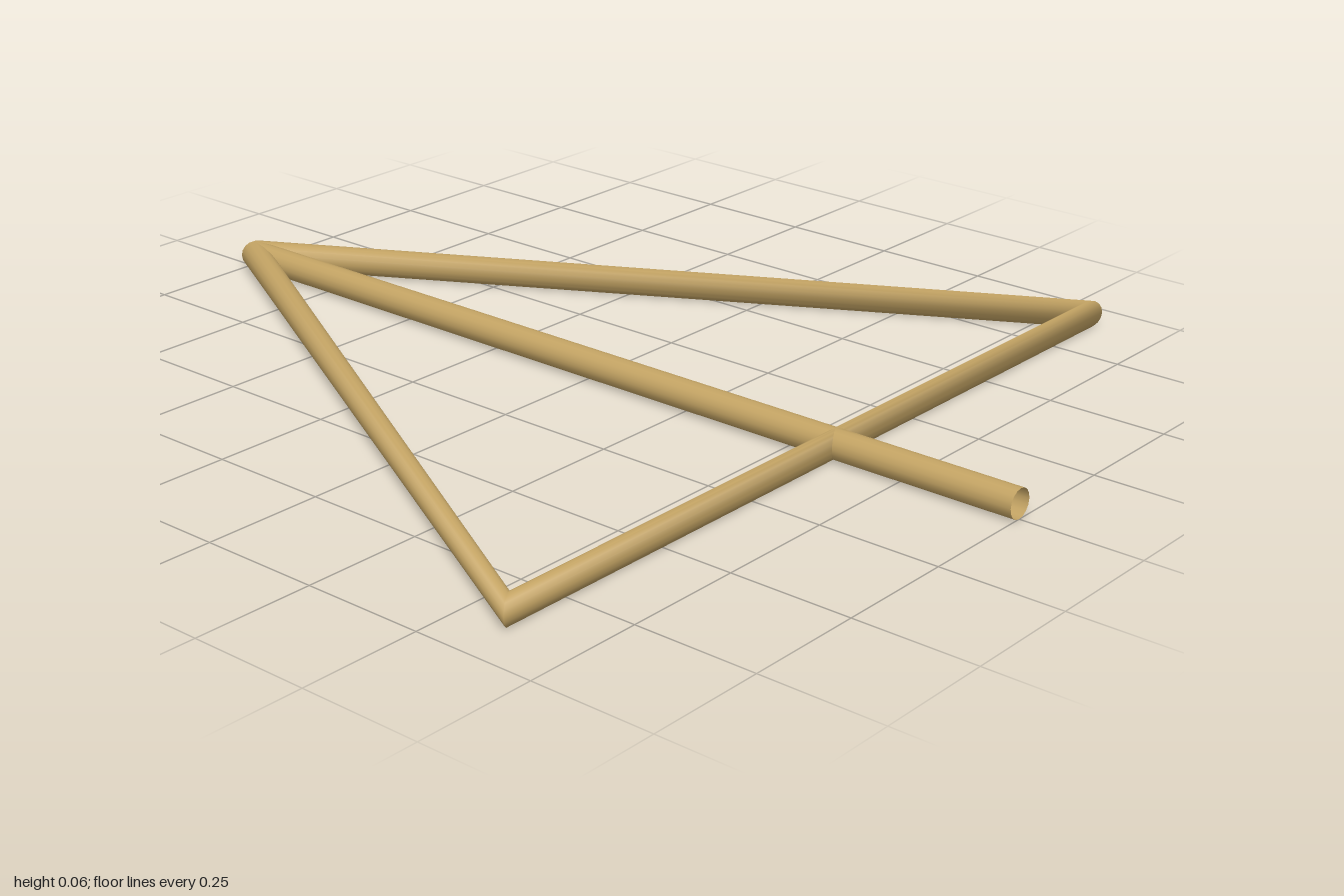
import * as THREE from 'three';

const RADIUS = 0.03;
const SIDES = 16;
const UP = new THREE.Vector3(0, 1, 0);

// Open-ended tube along straight segments, with one round ring per corner.
// Each corner ring lies across the averaged direction, so bends narrow the rod.
function bentRod(points) {
  const path = points.map(([x, z]) => new THREE.Vector3(x, RADIUS, z));
  const dirs = path.slice(1).map((p, i) => p.clone().sub(path[i]).normalize());
  const positions = [], normals = [], index = [];
  path.forEach((p, j) => {
    const before = dirs[Math.max(j - 1, 0)];
    const after = dirs[Math.min(j, dirs.length - 1)];
    const out = before.clone().add(after).normalize().cross(UP);
    for (let i = 0; i < SIDES; i++) {
      const a = (i / SIDES) * Math.PI * 2;
      const n = out.clone().multiplyScalar(Math.cos(a)).addScaledVector(UP, Math.sin(a));
      normals.push(...n.toArray());
      positions.push(...p.clone().addScaledVector(n, RADIUS).toArray());
      if (j === path.length - 1) continue;
      const k = (i + 1) % SIDES, r = j * SIDES, s = r + SIDES;
      index.push(r + i, s + i, r + k, r + k, s + i, s + k);
    }
  });
  const geometry = new THREE.BufferGeometry();
  geometry.setAttribute('position', new THREE.Float32BufferAttribute(positions, 3));
  geometry.setAttribute('normal', new THREE.Float32BufferAttribute(normals, 3));
  geometry.setIndex(index);
  return geometry;
}

export function createModel() {
  const model = new THREE.Group();
  model.name = 'triangularRodFrame';
  const wood = new THREE.MeshStandardMaterial({ color: 0xc4a464, side: THREE.DoubleSide });
  wood.name = 'tan wood';

  const add = (name, points) => {
    const mesh = new THREE.Mesh(bentRod(points), wood);
    mesh.name = name;
    model.add(mesh);
  };

  const apex = [0, -0.985];
  // Two slanted edges and the crossbar, bent from a single rod
  add('triangleRod', [apex, [-0.888, 0.598], [0.888, 0.598], apex]);
  // Straight rod down the middle, running past the crossbar
  add('centreRod', [apex, [0, 1]]);
  return model;
}
